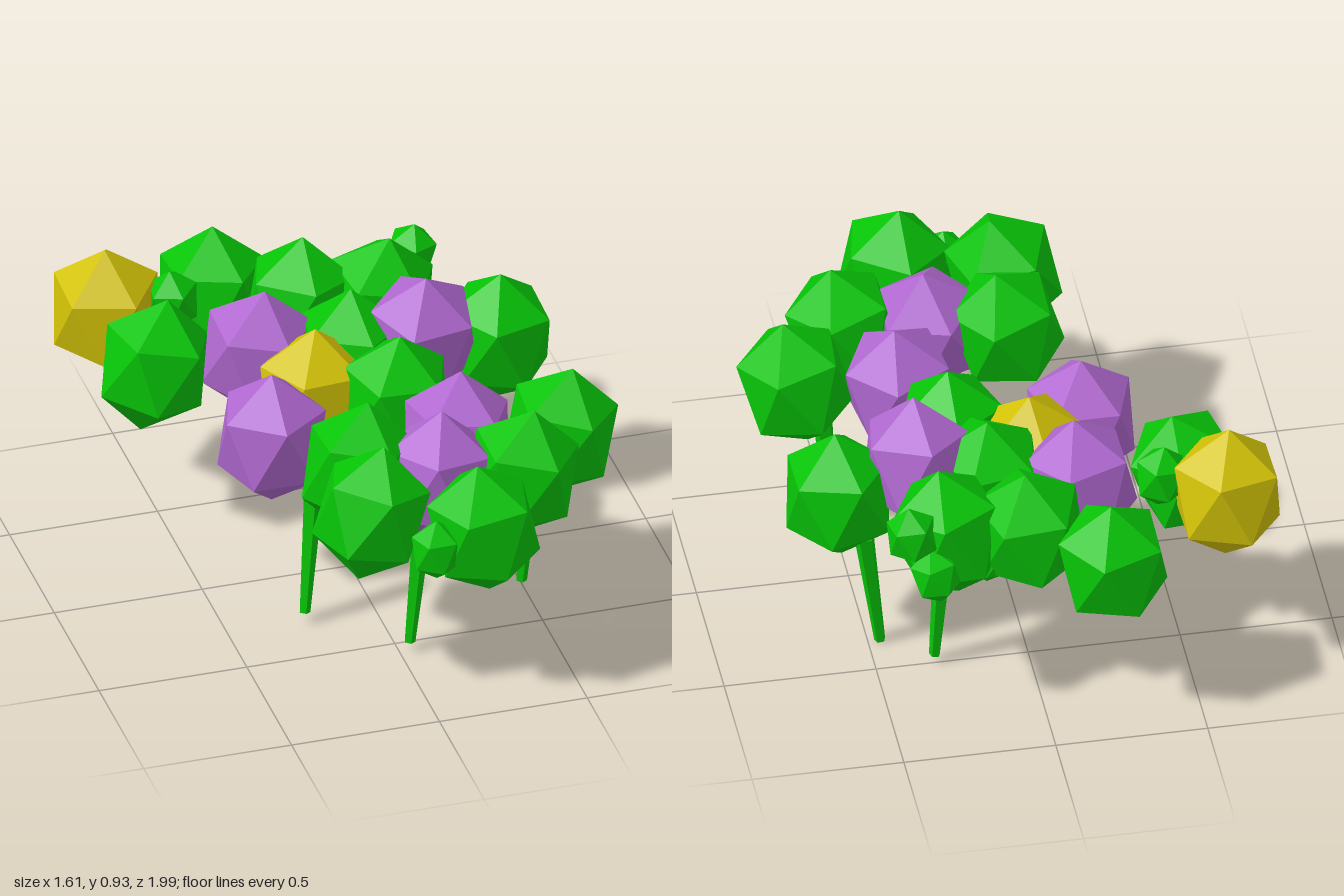
import * as THREE from 'three';

const mat = (color) => new THREE.MeshStandardMaterial({ color, flatShading: true });

// [x, y, z, leanX, leanZ, yaw] : centre of each big crown, how far its tip leans, its turn
const CROWNS = {
  green: [
    [-0.22, 0.595, -0.825, 0.01, -0.02, 0], [-0.535, 0.615, -0.42, 0.05, -0.01, 0.2],
    [0.02, 0.62, -0.64, 0.02, -0.02, 0.94], [0.28, 0.615, -0.60, 0.03, 0.02, 1.41],
    [0.59, 0.59, -0.31, 0.01, 0.01, 1.88], [0.095, 0.60, -0.32, 0.01, -0.02, 2.35],
    [0.17, 0.585, -0.045, 0.01, 0.01, 2.82], [0.62, 0.585, 0.30, 0.04, 0.01, 3.69],
    [-0.095, 0.63, 0.405, 0.04, -0.02, 3.76], [0.42, 0.60, 0.535, 0.04, 0.01, 3.78],
    [-0.135, 0.635, 0.685, 0.05, -0.02, 4.7], [0.205, 0.595, 0.815, -0.02, 0.0, 5.45],
  ],
  yellow: [
    [-0.625, 0.70, -0.665, -0.01, 0.02, 0], [-0.07, 0.565, -0.18, 0.01, -0.01, 0.47],
  ],
  purple: [
    [-0.19, 0.61, -0.41, 0.02, 0.02, 0], [0.33, 0.66, -0.28, 0.0, 0.04, 0.47],
    [-0.265, 0.54, 0.0, 0.0, 0.0, 0.94], [0.29, 0.58, 0.235, 0.02, -0.02, 1.41],
    [0.15, 0.60, 0.485, 0.02, -0.02, 1.88],
  ],
};
const COLORS = { green: 0x07c407, yellow: 0xd2c206, purple: 0xb068d0 };

// [x, y, z, radius] : small side tufts
const TUFTS = [
  [0.35, 0.56, -0.75, 0.085], [0.42, 0.70, -0.71, 0.09],
  [0.03, 0.575, 0.87, 0.09], [-0.42, 0.74, -0.595, 0.093],
  [0.16, 0.52, -0.67, 0.055],
];

// [foot, top] of each trunk
const TRUNKS = [
  [[0.035, 0.035, 0.55], [0.085, 0.46, 0.52]],
  [[-0.24, 0.04, 0.285], [-0.20, 0.44, 0.24]],
  [[0.305, 0.03, -0.49], [0.28, 0.45, -0.51]],
  [[0.46, 0.005, -0.35], [0.515, 0.45, -0.37]],
  [[0.50, 0.015, 0.26], [0.535, 0.45, 0.27]],
];

// Icosahedron turned so that one corner points straight up
function crownGeometry() {
  return new THREE.IcosahedronGeometry(1, 0).rotateZ(-Math.atan(2 / (1 + Math.sqrt(5))));
}

// Tapered five-sided limb between two points
function limb(from, to, r0, r1, material, name) {
  const dir = new THREE.Vector3().subVectors(to, from);
  const mesh = new THREE.Mesh(new THREE.CylinderGeometry(r1, r0, dir.length(), 5), material);
  mesh.position.copy(from).addScaledVector(dir, 0.5);
  mesh.quaternion.setFromUnitVectors(new THREE.Vector3(0, 1, 0), dir.normalize());
  mesh.name = name;
  return mesh;
}

export function createModel() {
  const model = new THREE.Group();
  model.name = 'grove';
  const geometry = crownGeometry();
  const up = new THREE.Vector3(0, 1, 0);

  // Big faceted crowns, taller than wide
  const materials = {};
  for (const [kind, list] of Object.entries(CROWNS)) {
    materials[kind] = mat(COLORS[kind]);
    for (const [x, y, z, lx, lz, yaw] of list) {
      const crown = new THREE.Mesh(geometry, materials[kind]);
      crown.name = kind + 'Crown';
      crown.position.set(x, y, z);
      crown.scale.set(0.197, 0.237, 0.197);
      const lean = new THREE.Vector3(lx, 0.235, lz).normalize();
      crown.quaternion.setFromUnitVectors(up, lean);
      crown.rotateY(yaw);
      model.add(crown);
    }
  }

  // Small tufts
  TUFTS.forEach(([x, y, z, r], i) => {
    const tuft = new THREE.Mesh(geometry, materials.green);
    tuft.name = 'tuft';
    tuft.position.set(x, y, z);
    tuft.scale.set(r, r * 1.2, r);
    tuft.rotation.set(0.15, i * 0.8, -0.15);
    model.add(tuft);
  });

  // Leaning trunks with a short fork at the top
  for (const [foot, top] of TRUNKS) {
    const a = new THREE.Vector3(...foot), b = new THREE.Vector3(...top);
    const trunk = new THREE.Group();
    trunk.name = 'trunk';
    trunk.add(limb(a, b, 0.019, 0.034, materials.green, 'stem'));
    const start = a.clone().lerp(b, 0.94);
    for (const s of [-1, 1]) {
      const tip = b.clone().add(new THREE.Vector3(s * 0.03, 0.03, -0.012 * s));
      trunk.add(limb(start, tip, 0.02, 0.013, materials.green, 'fork'));
    }
    model.add(trunk);
  }
  return model;
}
